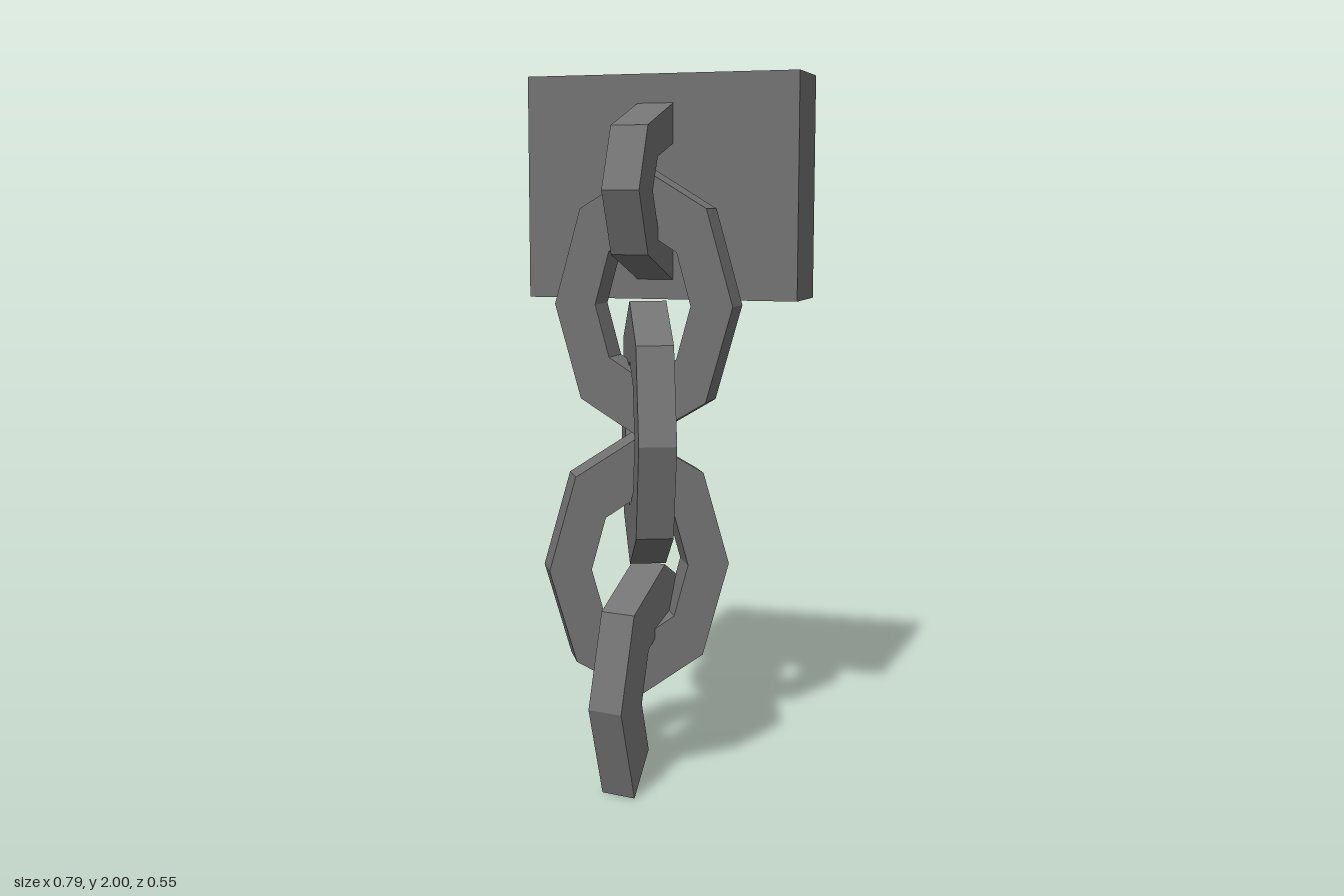
import * as THREE from 'three';

const iron = new THREE.MeshStandardMaterial({ color: 0x737373, side: THREE.DoubleSide });
iron.name = 'dark iron';

// Square bar swept through stations [outerX, outerY, innerX, innerY], listed counterclockwise
function bar(name, stations, width, { closed = false, caps = false } = {}) {
  const pos = [], idx = [], h = width / 2, n = stations.length;
  for (const [ox, oy, ix, iy] of stations) {
    pos.push(ox, oy, h, ox, oy, -h, ix, iy, -h, ix, iy, h);
  }
  for (let i = 0; i < (closed ? n : n - 1); i++) {
    const a = i * 4, b = ((i + 1) % n) * 4;
    for (let k = 0; k < 4; k++) {
      const m = (k + 1) % 4;
      idx.push(a + k, a + m, b + m, a + k, b + m, b + k);
    }
  }
  if (caps) {
    const e = (n - 1) * 4;
    idx.push(0, 2, 1, 0, 3, 2, e, e + 1, e + 2, e, e + 2, e + 3);
  }
  let g = new THREE.BufferGeometry();
  g.setAttribute('position', new THREE.Float32BufferAttribute(pos, 3));
  g.setIndex(idx);
  g = g.toNonIndexed();
  g.computeVertexNormals();
  const mesh = new THREE.Mesh(g, iron);
  mesh.name = name;
  return mesh;
}

// Stations of a stretched octagon, from one eighth-turn step to another
function octagon(from, to) {
  const out = [];
  for (let i = from; i <= to; i++) {
    const c = Math.cos(i * Math.PI / 4), s = Math.sin(i * Math.PI / 4);
    out.push([0.255 * c, 0.37 * s, 0.137 * c, 0.205 * s]);
  }
  return out;
}

function rectangle(path, x0, y0, x1, y1) {
  path.moveTo(x0, y0);
  path.lineTo(x1, y0);
  path.lineTo(x1, y1);
  path.lineTo(x0, y1);
  path.closePath();
  return path;
}

export function createModel() {
  const model = new THREE.Group();
  model.name = 'wallChain';

  // Wall plate: thin shell, open at the back
  const X0 = -0.395, X1 = 0.39, Y0 = 1.38, Y1 = 2, Z0 = -0.274, Z1 = -0.07;
  const cx = (X0 + X1) / 2, cy = (Y0 + Y1) / 2, cz = (Z0 + Z1) / 2;
  const plate = new THREE.Group();
  plate.name = 'wallPlate';
  const face = rectangle(new THREE.Shape(), X0, Y0, X1, Y1);
  // openings where the hollow staple joins the plate
  for (const [lo, hi] of [[1.435, 1.55], [1.81, 1.92]]) {
    face.holes.push(rectangle(new THREE.Path(), -0.069, lo, 0.035, hi));
  }
  const front = new THREE.Mesh(new THREE.ShapeGeometry(face), iron);
  front.name = 'plateFront';
  front.position.z = Z1;
  plate.add(front);
  for (const s of [-1, 1]) {
    const side = new THREE.Mesh(new THREE.PlaneGeometry(Z1 - Z0, Y1 - Y0), iron);
    side.name = s > 0 ? 'plateLeftSide' : 'plateRightSide';
    side.rotation.y = s * Math.PI / 2;
    side.position.set(s > 0 ? X1 : X0, cy, cz);
    const edge = new THREE.Mesh(new THREE.PlaneGeometry(X1 - X0, Z1 - Z0), iron);
    edge.name = s > 0 ? 'plateTop' : 'plateBottom';
    edge.rotation.x = -s * Math.PI / 2;
    edge.position.set(cx, s > 0 ? Y1 : Y0, cz);
    plate.add(side, edge);
  }
  model.add(plate);

  // Staple standing out of the plate
  const staple = bar('staple', [
    [-0.07, 1.435, -0.07, 1.55],
    [0.155, 1.51, 0.07, 1.585],
    [0.23, 1.68, 0.113, 1.68],
    [0.155, 1.85, 0.07, 1.77],
    [-0.07, 1.92, -0.07, 1.81],
  ], 0.104);
  staple.rotation.y = -Math.PI / 2;
  staple.position.x = -0.017;
  model.add(staple);

  // Hanging links: x, y, z, turn in degrees
  const links = [
    ['upperLink', -0.01, 1.37, 0.016, 0],
    ['middleLink', -0.01, 1.01, 0.018, -66],
    ['lowerLink', -0.04, 0.64, 0.028, 29.5],
    ['brokenLink', -0.018, 0.265, -0.015, -100.4],
  ];
  for (const [name, x, y, z, turn] of links) {
    const broken = name === 'brokenLink';
    const link = broken
      ? bar(name, octagon(-1, 3), 0.103, { caps: true })
      : bar(name, octagon(0, 7), 0.102, { closed: true });
    link.position.set(x, y, z);
    link.rotation.y = THREE.MathUtils.degToRad(turn);
    model.add(link);
  }
  return model;
}
